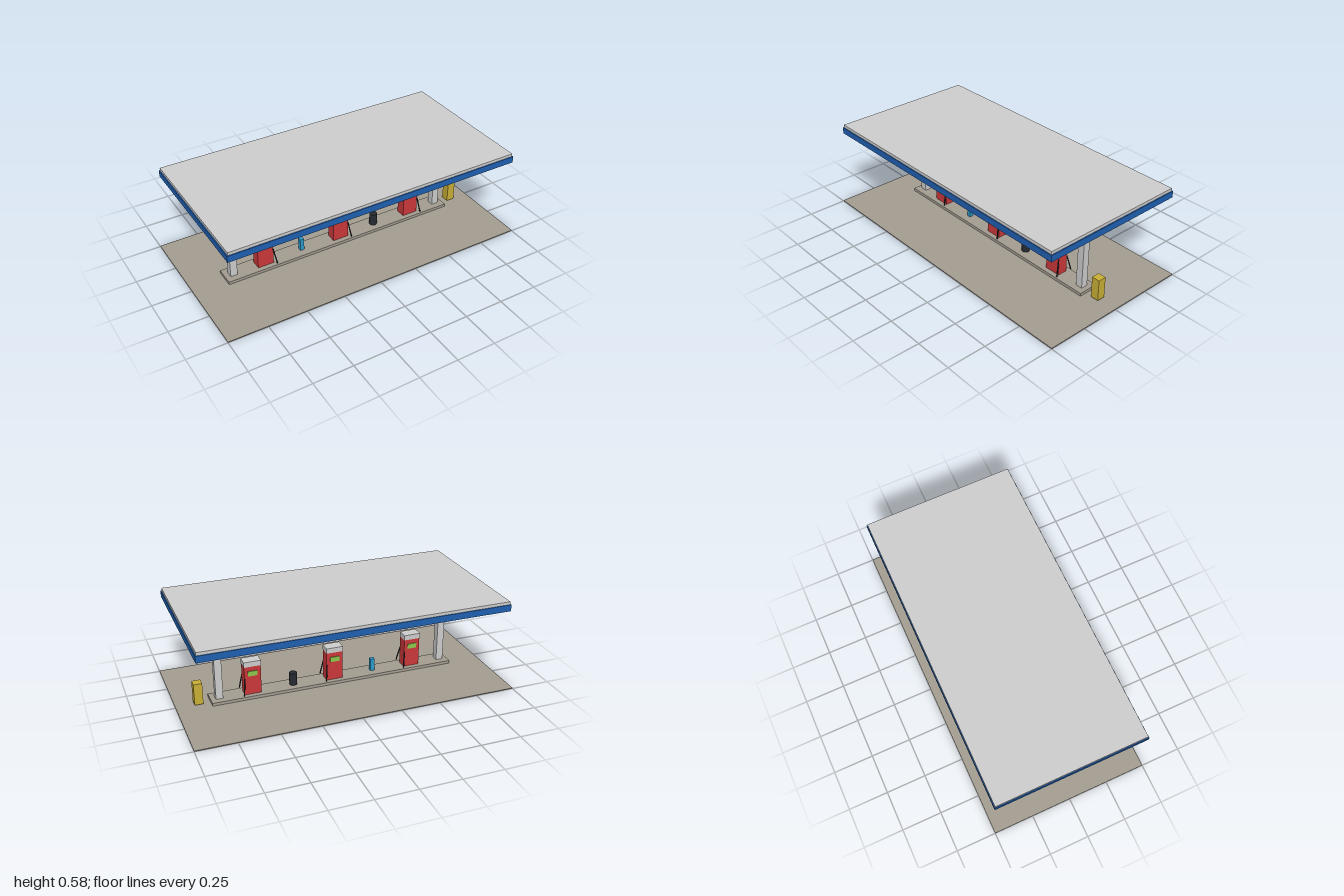
import * as THREE from 'three';

const mat = (name, color) => {
  const m = new THREE.MeshStandardMaterial({ color });
  m.name = name;
  return m;
};

export function createModel() {
  const grey = mat('light grey', 0xcecece);
  const concrete = mat('concrete', 0xa49d91);
  const blue = mat('fascia blue', 0x1f60b2);
  const cream = mat('soffit cream', 0xcabfa4);
  const red = mat('pump red', 0xcc383a);
  const green = mat('screen green', 0x8cc84b);
  const black = mat('rubber black', 0x262a30);
  const cyan = mat('dispenser blue', 0x2c9bcb);
  const yellow = mat('cabinet yellow', 0xcbb036);

  const root = new THREE.Group();
  root.name = 'fuelStation';

  // Box centred on x and z, spanning y0 to y1
  const box = (parent, name, m, w, d, y0, y1, x = 0, z = 0) => {
    const mesh = new THREE.Mesh(new THREE.BoxGeometry(w, y1 - y0, d), m);
    mesh.position.set(x, (y0 + y1) / 2, z);
    mesh.name = name;
    parent.add(mesh);
    return mesh;
  };

  // Straight round bar between two points
  const bar = (parent, name, m, a, b, r) => {
    const dir = b.clone().sub(a);
    const mesh = new THREE.Mesh(new THREE.CylinderGeometry(r, r, dir.length(), 8), m);
    mesh.position.copy(a).add(b).multiplyScalar(0.5);
    mesh.quaternion.setFromUnitVectors(new THREE.Vector3(0, 1, 0), dir.normalize());
    mesh.name = name;
    parent.add(mesh);
  };

  // Forecourt and raised island
  box(root, 'forecourt', concrete, 2, 1, 0, 0.005);
  box(root, 'island', concrete, 1.577, 0.127, 0.005, 0.024);

  // Canopy: soffit panel, fascia and roof
  box(root, 'soffit', cream, 1.69, 0.785, 0.52, 0.526);
  box(root, 'fascia', blue, 1.902, 0.954, 0.523, 0.564);
  box(root, 'roof', grey, 1.89, 0.943, 0.564, 0.583);

  // Columns
  for (const s of [-1, 1]) box(root, 'column', grey, 0.045, 0.045, 0.02, 0.523, s * 0.735);

  // Fuel pumps, with a screen and hose on both faces
  for (const x of [-0.527, 0, 0.527]) {
    const pump = new THREE.Group();
    pump.name = 'pump';
    pump.position.x = x;
    box(pump, 'pumpBody', red, 0.104, 0.064, 0.024, 0.21);
    box(pump, 'pumpCap', grey, 0.108, 0.07, 0.21, 0.243);
    for (const s of [-1, 1]) {
      box(pump, 'screen', green, 0.06, 0.008, 0.148, 0.18, 0, s * 0.033);
      bar(pump, 'hose', black, new THREE.Vector3(0.05, 0.132, s * 0.034),
        new THREE.Vector3(0.064, 0.032, s * 0.058), 0.004);
    }
    root.add(pump);
  }

  // Island fittings
  box(root, 'towelDispenser', cyan, 0.027, 0.027, 0.024, 0.105, -0.266);
  const bin = new THREE.Mesh(new THREE.CylinderGeometry(0.025, 0.025, 0.079, 12), black);
  bin.geometry = bin.geometry.toNonIndexed();
  bin.geometry.computeVertexNormals();
  bin.position.set(0.262, 0.0635, 0);
  bin.name = 'wasteBin';
  root.add(bin);

  // Service cabinet beside the island
  box(root, 'cabinet', yellow, 0.053, 0.053, 0.012, 0.15, 0.862);

  return root;
}
